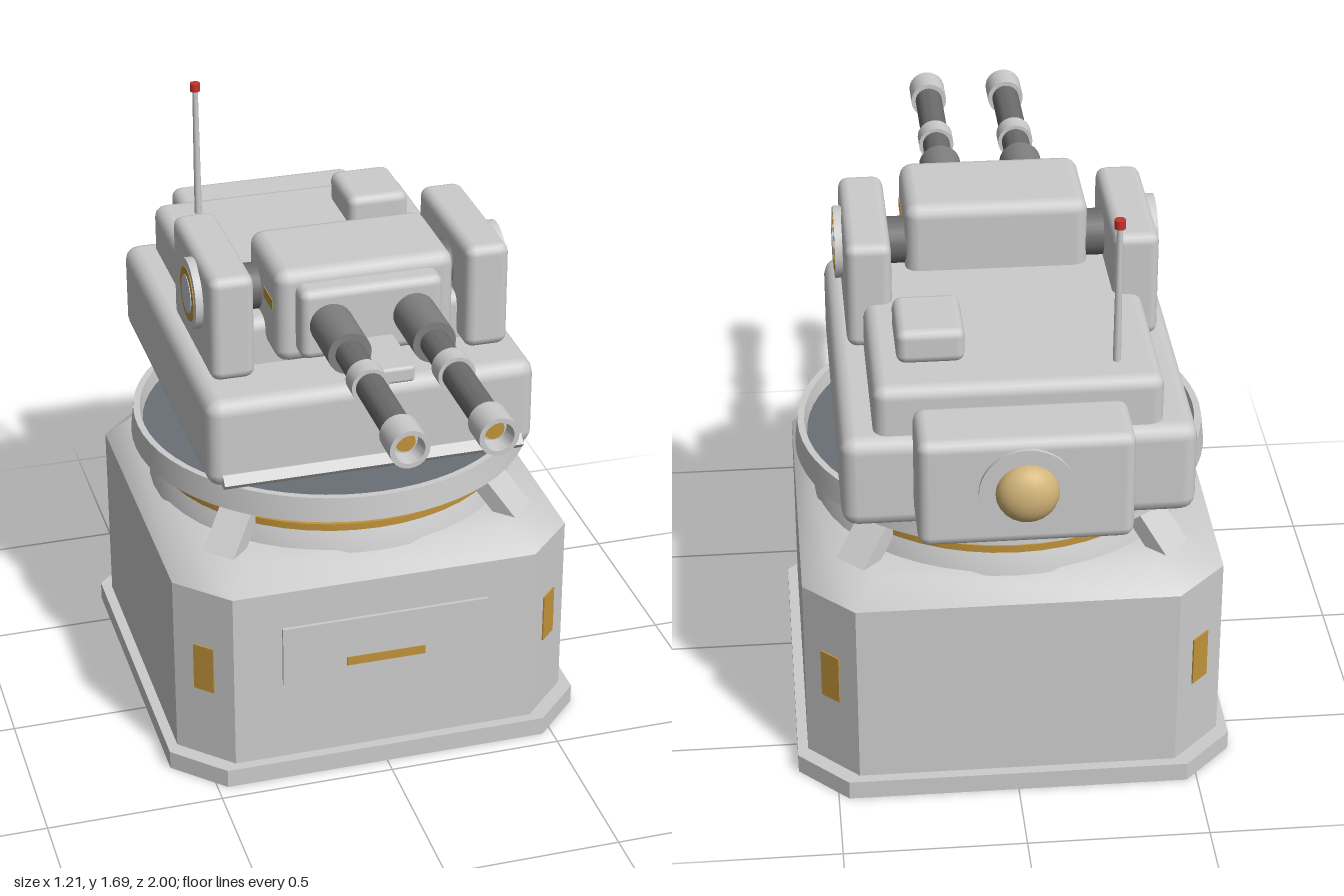
import * as THREE from 'three';
import { toCreasedNormals } from 'three/addons/utils/BufferGeometryUtils.js';
import { RoundedBoxGeometry } from 'three/addons/geometries/RoundedBoxGeometry.js';

const mat = (color) => new THREE.MeshStandardMaterial({ color });
const grey = mat(0xcccccc);
const dark = mat(0x6c6c6c);
const sleeveGrey = mat(0x808080);
const gold = mat(0xc0933a);
const tan = mat(0xd2b478);
const red = mat(0xc83228);
const slate = mat(0x6a7076);
const lens = mat(0xc4ccd6);

export function createModel() {
  const model = new THREE.Group();
  model.name = 'turret';
  const CZ = -0.155; // centre of the pedestal in z

  const add = (name, geometry, material, x = 0, y = 0, z = 0, parent = model) => {
    const mesh = new THREE.Mesh(geometry, material);
    mesh.name = name;
    mesh.position.set(x, y, z);
    parent.add(mesh);
    return mesh;
  };
  // box given by its limits, with rounded edges when r > 0
  const block = (name, [x0, x1], [y0, y1], [z0, z1], r = 0, material = grey) => {
    const s = [x1 - x0, y1 - y0, z1 - z0];
    const g = r ? new RoundedBoxGeometry(...s, 2, r) : new THREE.BoxGeometry(...s);
    return add(name, g, material, (x0 + x1) / 2, (y0 + y1) / 2, (z0 + z1) / 2);
  };
  // square with cut corners, raised from y0 to y1, top scaled by taper
  const octagon = (name, half, cut, y0, y1, taper = 1) => {
    const a = half, b = half - cut;
    const shape = new THREE.Shape([[a, -b], [a, b], [b, a], [-b, a], [-a, b], [-a, -b], [-b, -a], [b, -a]]
      .map(([x, y]) => new THREE.Vector2(x, y)));
    const g = new THREE.ExtrudeGeometry(shape, { depth: y1 - y0, bevelEnabled: false });
    g.rotateX(-Math.PI / 2);
    const p = g.attributes.position;
    for (let i = 0; i < p.count; i++) {
      if (p.getY(i) > (y1 - y0) / 2) {
        p.setX(i, p.getX(i) * taper);
        p.setZ(i, p.getZ(i) * taper);
      }
    }
    g.computeVertexNormals();
    return add(name, taper < 1 ? toCreasedNormals(g, 0.9) : g, grey, 0, y0, CZ);
  };
  const lathe = (points, sides = 48) => toCreasedNormals(
    new THREE.LatheGeometry(points.map(([r, y]) => new THREE.Vector2(r, y)), sides), 0.5);
  // turned part along z, profile given as [radius, z]
  const turnedZ = (name, points, material, x, y, z = 0, sides = 24) =>
    add(name, lathe(points, sides).rotateX(Math.PI / 2), material, x, y, z);
  const rod = (r, a, b) => [[0, a], [r, a], [r, b], [0, b]];

  // pedestal
  octagon('plinth', 0.607, 0.136, 0, 0.055);
  octagon('pedestalBody', 0.578, 0.138, 0.055, 0.6);
  octagon('pedestalShoulder', 0.578, 0.138, 0.6, 0.67, 0.88);
  block('frontPanel', [-0.3, 0.3], [0.3, 0.485], [0.41, 0.433]);
  block('frontPanelBar', [-0.115, 0.115], [0.335, 0.362], [0.42, 0.435], 0, gold);

  // corner lights and struts
  for (let i = 0; i < 4; i++) {
    const corner = new THREE.Group();
    corner.name = 'corner';
    corner.position.z = CZ;
    corner.rotation.y = Math.PI / 4 + i * Math.PI / 2;
    model.add(corner);
    add('cornerLight', new THREE.BoxGeometry(0.065, 0.145, 0.02), gold, 0, 0.348, 0.714, corner);
    const strut = add('strut', new THREE.BoxGeometry(0.1, 0.05, 0.24), grey, 0, 0.71, 0.555, corner);
    strut.rotation.x = Math.PI / 4;
  }

  // bearing and slewing ring
  add('bearing', lathe([[0, 0.66], [0.527, 0.66], [0.51, 0.725], [0.5, 0.745], [0.46, 0.8], [0, 0.8]]), grey, 0, 0, CZ);
  add('bearingBand', lathe([[0.49, 0.725], [0.513, 0.725], [0.513, 0.746], [0.49, 0.746]]), gold, 0, 0, CZ);
  add('slewingRing', lathe([[0.44, 0.79], [0.575, 0.79], [0.567, 0.862], [0.548, 0.862], [0.54, 0.815]], 64), grey, 0, 0, CZ);
  add('ringFloor', lathe([[0.545, 0.82], [0, 0.82]]), slate, 0, 0, CZ);

  // rotating hull with a thin wedge along its lower front edge
  block('hull', [-0.468, 0.468], [0.882, 1.147], [-0.762, 0.302], 0.042);
  const wedge = new THREE.Shape([[-0.25, 0.98], [-0.325, 0.905], [-0.31, 0.888], [-0.2, 0.888]]
    .map(([x, y]) => new THREE.Vector2(x, y)));
  const wedgeGeometry = new THREE.ExtrudeGeometry(wedge, { depth: 0.86, bevelEnabled: false });
  add('lowerFrontWedge', wedgeGeometry.rotateY(Math.PI / 2), grey, -0.43);
  block('upperDeck', [-0.38, 0.38], [1.1, 1.282], [-0.73, 0.1], 0.035);
  block('hatch', [0.13, 0.31], [1.28, 1.378], [-0.605, -0.39], 0.025);

  // rear pack with domed sensor
  block('rearPack', [-0.28, 0.28], [0.925, 1.235], [-0.935, -0.73], 0.03);
  turnedZ('sensorFlange', rod(0.125, -0.945, -0.92), grey, 0, 1.088, 0, 32);
  const dome = add('sensorDome', new THREE.SphereGeometry(0.083, 24, 10, 0, Math.PI * 2, 0, Math.PI / 2), tan, 0, 1.088, -0.942);
  dome.rotation.x = -Math.PI / 2;
  dome.scale.y = 0.7;

  // antenna
  add('antenna', new THREE.CylinderGeometry(0.008, 0.011, 0.4, 10), grey, -0.265, 1.475, -0.625);
  add('antennaTip', new THREE.CylinderGeometry(0.015, 0.015, 0.024, 12), red, -0.265, 1.68, -0.625);

  // gun housing
  block('gunHousing', [-0.252, 0.252], [1.2, 1.475], [-0.085, 0.225], 0.038);
  block('mantlet', [-0.2, 0.2], [1.235, 1.44], [0.1, 0.285], 0.025);
  block('rangefinder', [-0.06, 0.06], [1.238, 1.285], [0.25, 0.48], 0.01);
  add('trunnion', new THREE.CylinderGeometry(0.065, 0.065, 0.64, 24).rotateZ(Math.PI / 2), dark, 0, 1.34, 0);

  for (const s of [-1, 1]) {
    // twin barrels
    const x = 0.117 * s, y = 1.34;
    turnedZ('barrelSleeve', rod(0.06, 0.25, 0.465), sleeveGrey, x, y);
    turnedZ('barrel', rod(0.04, 0.45, 0.93), dark, x, y);
    turnedZ('barrelCollar', rod(0.051, 0.598, 0.657), grey, x, y);
    turnedZ('muzzle', [[0, 0.908], [0.053, 0.908], [0.053, 1], [0.04, 1], [0.036, 0.95], [0, 0.95]], grey, x, y);
    turnedZ('boreGlow', rod(0.027, 0.94, 0.96), gold, x, y);

    // side pods with round caps
    const xs = [0.3 * s, 0.425 * s].sort((a, b) => a - b);
    block('sidePod', xs, [1.148, 1.457], [-0.268, 0.182], 0.028);
    const cap = new THREE.Group();
    cap.name = 'podCap';
    cap.position.set(0.41 * s, 1.34, 0);
    cap.rotation.z = -s * Math.PI / 2;
    model.add(cap);
    add('capDisc', lathe(rod(0.1, 0, 0.036), 32), grey, 0, 0, 0, cap);
    add('capRing', lathe(rod(0.077, 0.03, 0.038), 32), gold, 0, 0, 0, cap);
    add('capLens', lathe(rod(0.054, 0.03, 0.04), 32), lens, 0, 0, 0, cap);
    const mark = [0.24 * s, 0.254 * s].sort((a, b) => a - b);
    block('housingLight', mark, [1.35, 1.38], [0.09, 0.18], 0, gold);
  }
  return model;
}
